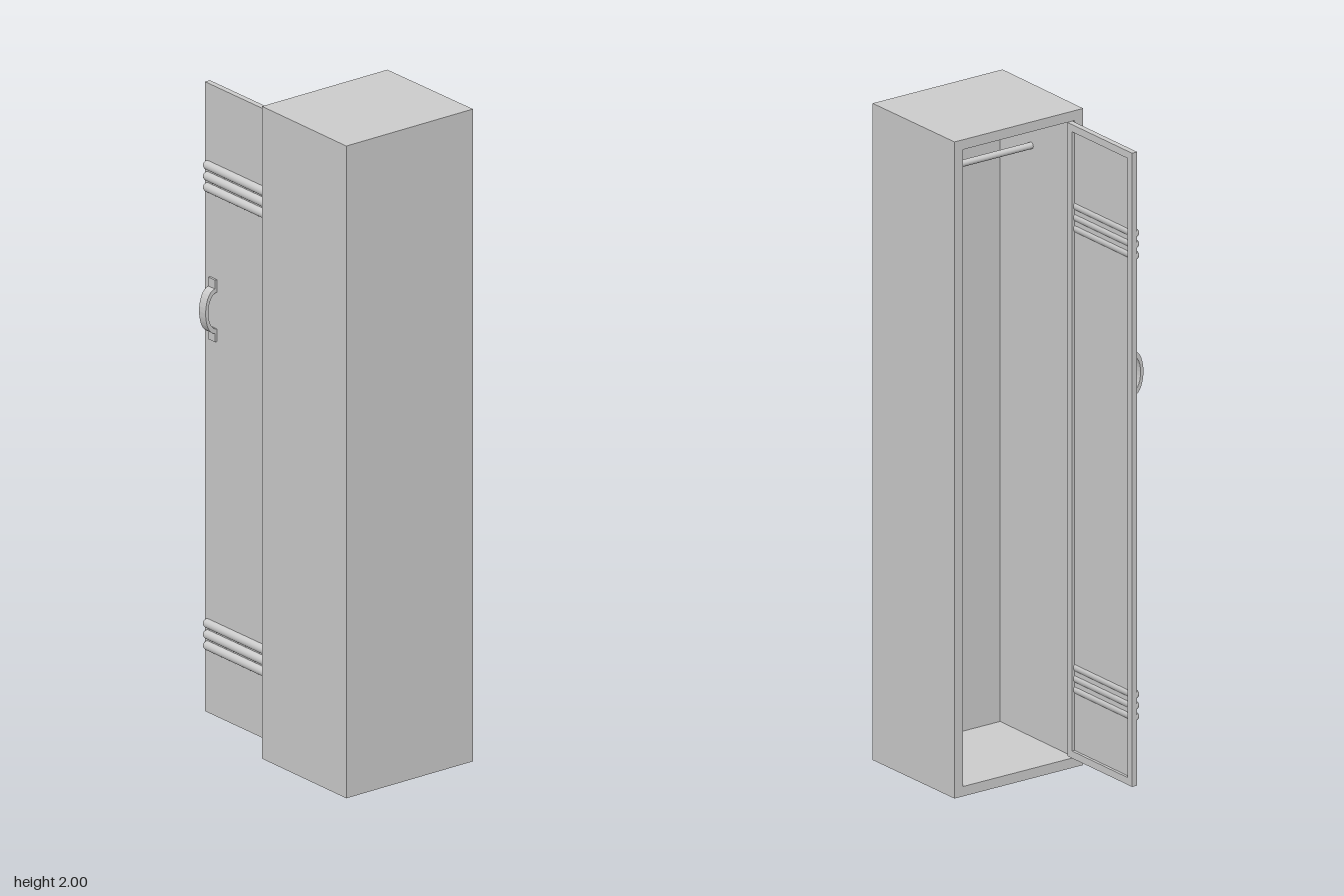
import * as THREE from 'three';

const material = new THREE.MeshStandardMaterial({ color: 0xcccccc, side: THREE.DoubleSide });

function rectPath(PathType, x0, x1, y0, y1) {
  return new PathType([[x0, y0], [x1, y0], [x1, y1], [x0, y1]].map(([x, y]) => new THREE.Vector2(x, y)));
}

// Rectangular plate, with a rectangular hole if inset > 0
function plate(x0, x1, y0, y1, inset, depth) {
  const shape = rectPath(THREE.Shape, x0, x1, y0, y1);
  if (inset > 0) shape.holes.push(rectPath(THREE.Path, x0 + inset, x1 - inset, y0 + inset, y1 - inset));
  return new THREE.ExtrudeGeometry(shape, { depth, bevelEnabled: false });
}

function add(parent, name, geometry) {
  const mesh = new THREE.Mesh(geometry, material);
  mesh.name = name;
  parent.add(mesh);
  return mesh;
}

// The cabinet widens very slightly towards +z
function taper(geometry) {
  const p = geometry.attributes.position;
  for (let i = 0; i < p.count; i++) {
    const t = (p.getZ(i) + 0.04) / 0.39;
    p.setX(i, p.getX(i) * (1 + 0.01 * t));
  }
  geometry.computeVertexNormals();
  return geometry;
}

function createCabinet() {
  const cabinet = new THREE.Group();
  cabinet.name = 'cabinet';
  // Four walls as one tube, closed by a flat panel
  add(cabinet, 'walls', taper(plate(-0.228, 0.228, 0, 2, 0.03, 0.36).translate(0, 0, -0.04)));
  add(cabinet, 'closedPanel', taper(plate(-0.228, 0.228, 0, 2, 0, 0.03).translate(0, 0, 0.32)));
  // Hanging rail between the side walls
  const rail = add(cabinet, 'hangingRail', new THREE.CylinderGeometry(0.01, 0.01, 0.4, 16).rotateZ(Math.PI / 2));
  rail.position.set(0, 1.83, 0.17);
  return cabinet;
}

function createHandle() {
  // Arched band with flat feet; "out" is measured from the door face
  const face = -0.19, yMid = 1.285, steps = 14;
  const arch = (ry, rx, base) => Array.from({ length: steps + 1 }, (_, i) => {
    const a = -Math.PI / 2 + (Math.PI * i) / steps;
    return new THREE.Vector2(face - base - rx * Math.cos(a), yMid + ry * Math.sin(a));
  });
  const foot = (y, out) => new THREE.Vector2(face - out, yMid + y);
  const outline = [
    foot(-0.095, 0), foot(-0.095, 0.007), ...arch(0.068, 0.034, 0.007),
    foot(0.095, 0.007), foot(0.095, 0), ...arch(0.056, 0.031, 0).reverse(),
  ];
  const geometry = new THREE.ExtrudeGeometry(new THREE.Shape(outline), { depth: 0.03, bevelEnabled: false });
  return geometry.translate(0, 0, -0.325);
}

function createDoor() {
  const door = new THREE.Group();
  door.name = 'door';
  // Plates are drawn in the z-y plane and given their thickness along x
  const upright = (inset, depth, x) =>
    plate(0.04, 0.35, 0.04, 1.97, inset, depth).rotateY(Math.PI / 2).translate(x, 0, 0);
  add(door, 'doorPanel', upright(0, 0.009, -0.19));
  add(door, 'doorRim', upright(0.022, 0.009, -0.181));

  // Two sets of three rounded vent ridges
  for (const y of [1.685, 0.28]) {
    for (const step of [-1, 0, 1]) {
      const ridge = add(door, 'ventRidge', new THREE.CapsuleGeometry(0.014, 0.28, 6, 16).rotateX(Math.PI / 2));
      ridge.position.set(-0.191, y + step * 0.034, -0.195);
    }
  }
  add(door, 'handle', createHandle());
  return door;
}

export function createModel() {
  const locker = new THREE.Group();
  locker.name = 'locker';
  locker.add(createCabinet(), createDoor());
  return locker;
}
